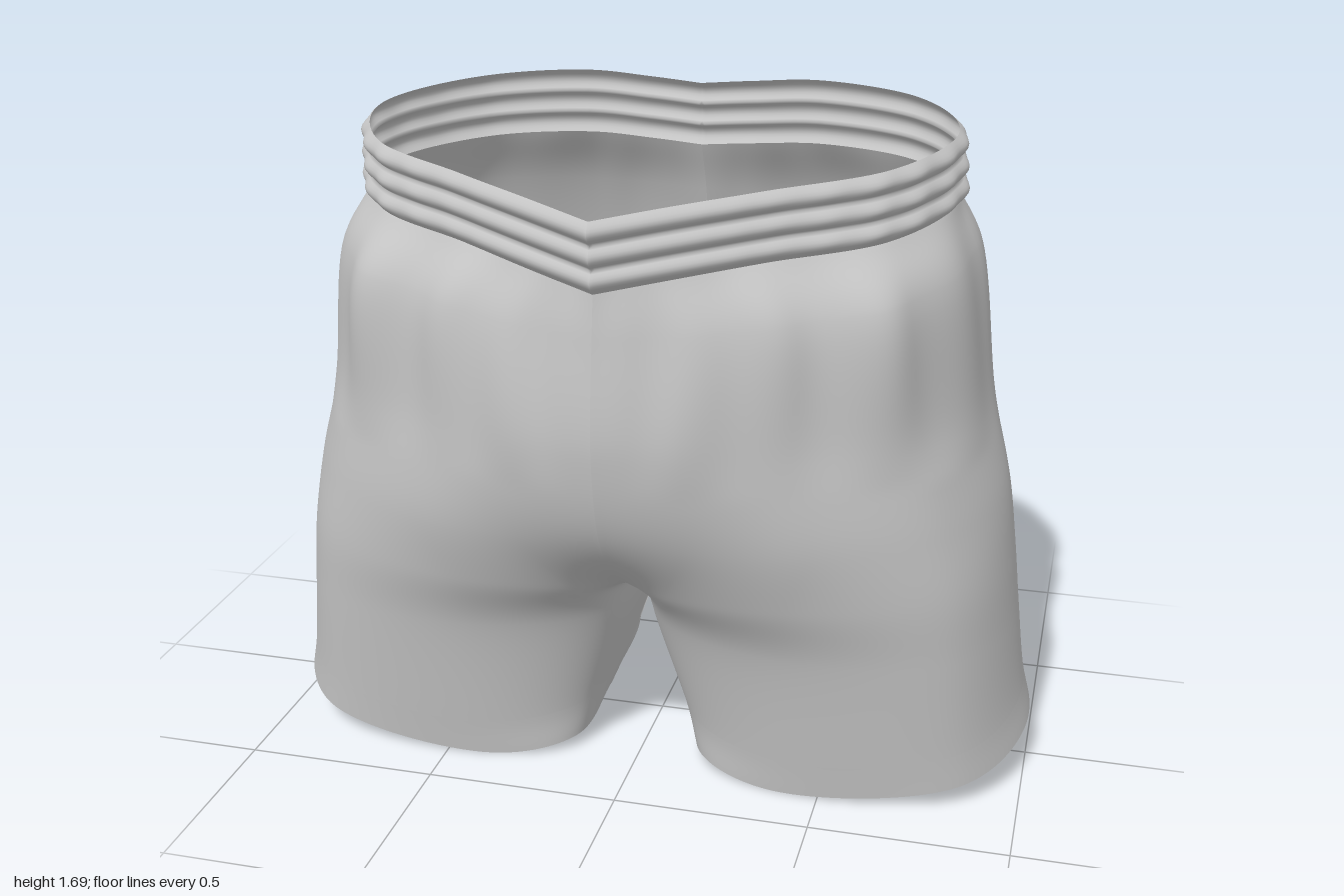
import * as THREE from 'three';

// Cross-sections of the left half. Nine columns run from the front centre,
// round the side, to the back centre; below the crotch each row is a closed leg loop.
const X = [
  [0, .16, .36, .62, .745, .58, .32, .14, 0],
  [0, .20, .44, .69, .80, .64, .34, .14, 0],
  [0, .20, .46, .74, .855, .70, .36, .13, 0],
  [0, .20, .48, .79, .91, .74, .37, .12, 0],
  [0, .13, .44, .82, .935, .78, .38, .10, 0],
  [0, .08, .42, .83, .955, .81, .39, .08, 0],
  [.095, .15, .41, .85, .98, .85, .42, .15, .095],
  [.14, .17, .38, .86, 1, .88, .42, .17, .14],
];
const Z = [
  [.63, .57, .47, .33, 0, -.36, -.45, -.445, -.43],
  [.645, .60, .52, .38, 0, -.40, -.55, -.53, -.49],
  [.665, .63, .53, .36, 0, -.45, -.665, -.63, -.575],
  [.595, .58, .53, .36, .02, -.45, -.675, -.62, -.50],
  [.38, .47, .50, .36, .02, -.44, -.665, -.52, -.30],
  [.03, .33, .44, .35, .03, -.42, -.65, -.38, .03],
  [.02, .27, .375, .32, .05, -.40, -.625, -.36, .02],
  [.02, .27, .355, .31, .05, -.38, -.615, -.38, .02],
];
// Heights at the even columns; the odd ones lie halfway
const Y = [
  [1.385, 1.44, 1.50, 1.515, 1.50],
  [1.27, 1.31, 1.38, 1.36, 1.36],
  [1, 1, 1, 1, 1],
  [.75, .75, .78, .75, .78],
  [.56, .58, .60, .58, .60],
  [.455, .42, .42, .42, .455],
  [.18, .10, .21, .25, .18],
  [.07, 0, .12, .14, .07],
];
const TOP = {
  x: [0, .16, .36, .62, .735, .58, .32, .14, 0],
  z: [.66, .59, .49, .33, .02, -.34, -.425, -.425, -.415],
  y: [1.56, 1.61, 1.665, 1.69, 1.67],
};

function rowCurve(xs, ys, zs) {
  const pts = xs.map((x, i) => {
    const y = i % 2 ? (ys[(i - 1) / 2] + ys[(i + 1) / 2]) / 2 : ys[i / 2];
    return new THREE.Vector3(x, y, zs[i]);
  });
  return new THREE.CatmullRomCurve3(pts);
}

const rows = X.map((xs, i) => rowCurve(xs, Y[i], Z[i]));
const topRow = rowCurve(TOP.x, TOP.y, TOP.z);
const CROTCH = 5 / 7, HEM = 6 / 7;

const column = (u) => new THREE.CatmullRomCurve3(rows.map((r) => r.getPoint(u)));
const firstColumn = column(0), lastColumn = column(1);

// Cloth below the waistband, with gathers fading out downwards
function clothPoint(u, v, col) {
  const p = col.getPoint(v);
  if ((u === 0 || u === 1) && v >= CROTCH - 1e-6) {
    p.copy(firstColumn.getPoint(v)).add(lastColumn.getPoint(v)).multiplyScalar(.5);
  }
  const fade = Math.sin(Math.PI * Math.min(1, v / .34)) * Math.sin(Math.PI * u);
  const front = u < .5 ? 1 : .4;
  const fold = .012 * fade * front * (Math.sin(u * 62) + .6 * Math.sin(u * 37 + v * 9));
  const r = Math.hypot(p.x, p.z) || 1;
  p.x = Math.max(0, p.x + fold * p.x / r);
  p.z += fold * p.z / r;
  return p;
}

// Elastic band with three rounded ribs and fine puckers at the side
function bandPoint(u, v) {
  const p = topRow.getPoint(u).lerp(rows[0].getPoint(u), v);
  const pucker = .004 * Math.sin(u * 130) * Math.exp(-Math.pow((u - .42) / .14, 2));
  const out = (.02 + pucker) * Math.abs(Math.sin(3 * Math.PI * v));
  const r = Math.hypot(p.x, p.z);
  p.x += out * p.x / r;
  p.z += out * p.z / r;
  return p;
}

// Grid surface; side = -1 mirrors it to the right half
function sheet(nu, nv, v0, v1, side, makePoint) {
  const pos = [], index = [];
  for (let i = 0; i <= nu; i++) {
    const u = i / nu, col = column(u);
    for (let j = 0; j <= nv; j++) {
      const p = makePoint(u, v0 + (v1 - v0) * j / nv, col);
      pos.push(side * p.x, p.y, p.z);
      if (i === nu || j === nv) continue;
      const a = i * (nv + 1) + j, b = a + 1, c = a + nv + 1, d = c + 1;
      if (side > 0) index.push(a, b, c, b, d, c);
      else index.push(a, c, b, b, c, d);
    }
  }
  const g = new THREE.BufferGeometry();
  g.setAttribute('position', new THREE.Float32BufferAttribute(pos, 3));
  g.setIndex(index);
  g.computeVertexNormals();
  return g;
}

export function createModel() {
  const group = new THREE.Group();
  group.name = 'shorts';
  const cloth = new THREE.MeshStandardMaterial({ color: 0xc4c4c4, side: THREE.DoubleSide });
  cloth.name = 'light grey cloth';

  const add = (name, geometry) => {
    const mesh = new THREE.Mesh(geometry, cloth);
    mesh.name = name;
    group.add(mesh);
  };

  for (const [name, side] of [['left', 1], ['right', -1]]) {
    add(name + 'Leg', sheet(128, 72, 0, HEM, side, clothPoint));
    add(name + 'Hem', sheet(128, 8, HEM, 1, side, clothPoint));
    add(name + 'Waistband', sheet(160, 24, 0, 1, side, bandPoint));
  }
  return group;
}
